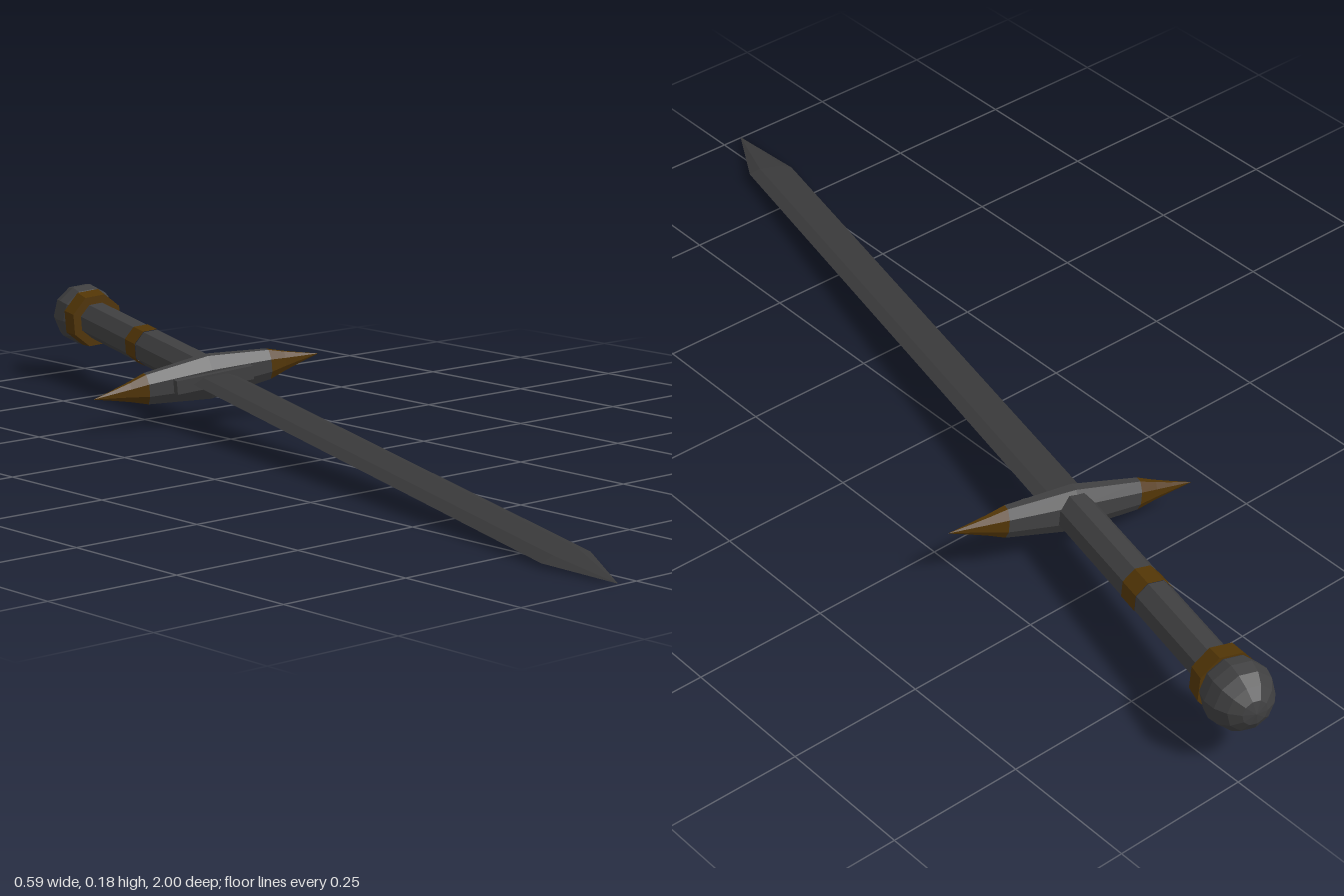
import * as THREE from 'three';

const paint = (name, color) => {
  const m = new THREE.MeshStandardMaterial({ color, flatShading: true });
  m.name = name;
  return m;
};

export function createModel() {
  const steel = paint('dark steel', 0x404041);
  const bladeSteel = paint('blade steel', 0x39393a);
  const bronze = paint('dark bronze', 0x533606);

  // The sword is built along local z (tip at +z, guard at the origin), then laid down.
  const sword = new THREE.Group();
  sword.name = 'sword';
  const add = (name, geometry, material) => {
    const mesh = new THREE.Mesh(geometry, material);
    mesh.name = name;
    sword.add(mesh);
    return mesh;
  };
  // Eight-sided turned part from [radius, position] pairs along its own y axis
  const turned = (profile) => new THREE.LatheGeometry(
    profile.map(([r, y]) => new THREE.Vector2(r, y)), 8, Math.PI / 8);

  // Blade: flattened hexagon section running to a point
  const section = [[0.045, 0], [0.024, 0.009], [-0.024, 0.009],
    [-0.045, 0], [-0.024, -0.009], [0.024, -0.009]];
  const pos = [];
  section.forEach(([x0, y0], i) => {
    const [x1, y1] = section[(i + 1) % section.length];
    const a = [x0, y0, 0], b = [x1, y1, 0];
    const c = [x1, y1, 1.287], d = [x0, y0, 1.287];
    pos.push(...a, ...b, ...c, ...a, ...c, ...d, ...d, ...c, 0, 0, 1.44);
  });
  const blade = new THREE.BufferGeometry();
  blade.setAttribute('position', new THREE.Float32BufferAttribute(pos, 3));
  blade.computeVertexNormals();
  add('blade', blade, bladeSteel);

  // Plate where the blade meets the guard
  const collar = add('bladeCollar', new THREE.BoxGeometry(0.158, 0.026, 0.04), steel);
  collar.position.z = 0.015;

  // Cross guard with pointed bronze ends
  const guard = add('guard', turned([[0.031, -0.127], [0.045, 0], [0.031, 0.127]])
    .rotateZ(-Math.PI / 2).scale(1, 1, 0.58), steel);
  guard.position.z = 0;
  for (const side of [1, -1]) {
    const tip = turned([[0.031, 0.127], [0.02, 0.16], [0.011, 0.192], [0, 0.234]])
      .rotateZ(-side * Math.PI / 2).scale(1, 1, 0.58);
    add(side > 0 ? 'leftGuardTip' : 'rightGuardTip', tip, bronze);
  }

  // Grip, band, pommel ring and pommel
  const along = (g) => g.rotateX(Math.PI / 2);
  add('grip', along(turned([[0.037, -0.54], [0.037, -0.293]])), steel);
  add('gripBand', along(turned([[0.038, -0.293], [0.038, -0.247]])), bronze);
  add('gripFront', along(turned([[0.037, -0.247], [0.037, 0]])), steel);
  add('pommelRing', along(turned([[0.036, -0.54], [0.058, -0.54], [0.054, -0.505], [0.036, -0.505]])), bronze);
  const pommel = add('pommel', along(new THREE.SphereGeometry(0.061, 10, 8)), steel);
  pommel.position.z = -0.569;

  // Lay the sword down in its resting pose
  const forward = new THREE.Vector3(-0.2467, -0.0608, 0.967).normalize();
  const across = new THREE.Vector3(0.9636, 0.105, 0.246);
  const up = forward.clone().cross(across).normalize();
  across.crossVectors(up, forward);
  sword.quaternion.setFromRotationMatrix(new THREE.Matrix4().makeBasis(across, up, forward));
  sword.position.set(0.065, 0.089, -0.393);

  const model = new THREE.Group();
  model.name = 'model';
  model.add(sword);
  return model;
}
